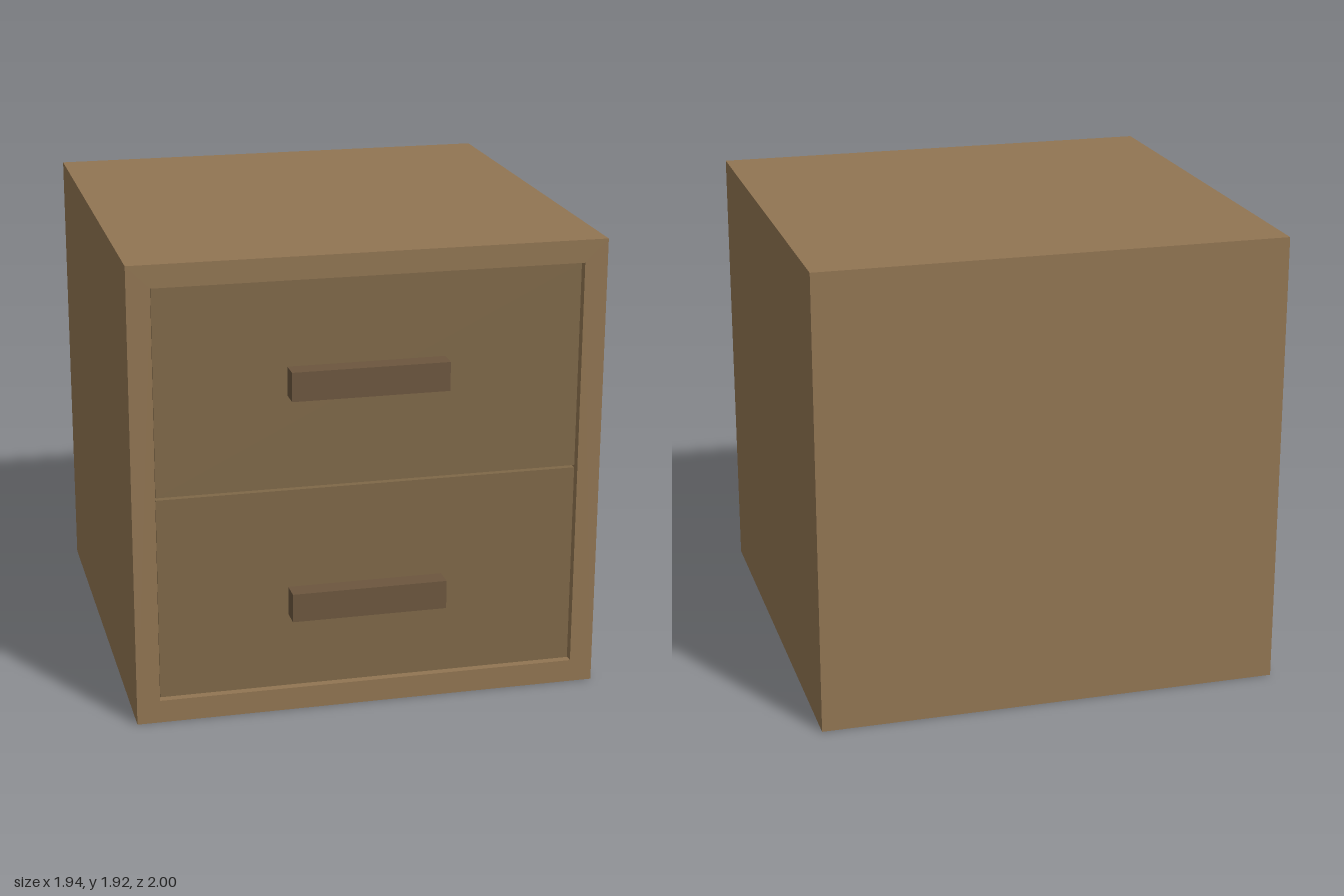
import * as THREE from 'three';

const material = (color) => new THREE.MeshStandardMaterial({ color, flatShading: true });

// Box given by its lower and upper corners
function box(name, [x0, y0, z0], [x1, y1, z1], mat) {
  const mesh = new THREE.Mesh(new THREE.BoxGeometry(x1 - x0, y1 - y0, z1 - z0), mat);
  mesh.position.set((x0 + x1) / 2, (y0 + y1) / 2, (z0 + z1) / 2);
  mesh.name = name;
  return mesh;
}

// Closed rectangle from corner to corner, as a shape or a hole
function rectangle(PathType, x0, y0, x1, y1) {
  return new PathType([
    new THREE.Vector2(x0, y0), new THREE.Vector2(x1, y0),
    new THREE.Vector2(x1, y1), new THREE.Vector2(x0, y1),
  ]);
}

export function createModel() {
  const group = new THREE.Group();
  group.name = 'nightstand';
  const wood = material(0x917552);
  const drawerWood = material(0x7f6848);
  const handleWood = material(0x6c563e);

  const halfWidth = 0.97, height = 1.92, back = -1, front = 0.94, wall = 0.1;

  // Cabinet shell, open at the front and closed by a back panel
  const outline = rectangle(THREE.Shape, -halfWidth, 0, halfWidth, height);
  outline.holes.push(rectangle(THREE.Path, -0.875, 0.096, 0.875, 1.826));
  const shell = new THREE.Mesh(
    new THREE.ExtrudeGeometry(outline, { depth: front - back - wall, bevelEnabled: false }), wood);
  shell.position.z = back + wall;
  shell.name = 'cabinetShell';
  group.add(shell);
  group.add(box('backPanel', [-halfWidth, 0, back], [halfWidth, height, back + wall], wood));

  // Two slightly recessed drawers, each with a bar handle
  const drawers = [
    { name: 'lowerDrawer', bottom: 0.1, top: 0.953, handle: 0.475 },
    { name: 'upperDrawer', bottom: 0.963, top: 1.822, handle: 1.41 },
  ];
  const face = 0.915;
  for (const { name, bottom, top, handle } of drawers) {
    const drawer = new THREE.Group();
    drawer.name = name;
    drawer.add(box('drawerBody', [-0.87, bottom, back + wall + 0.02], [0.87, top, face], drawerWood));
    drawer.add(box('handle', [-0.335, handle - 0.06, face], [0.308, handle + 0.06, 1], handleWood));
    group.add(drawer);
  }
  return group;
}
